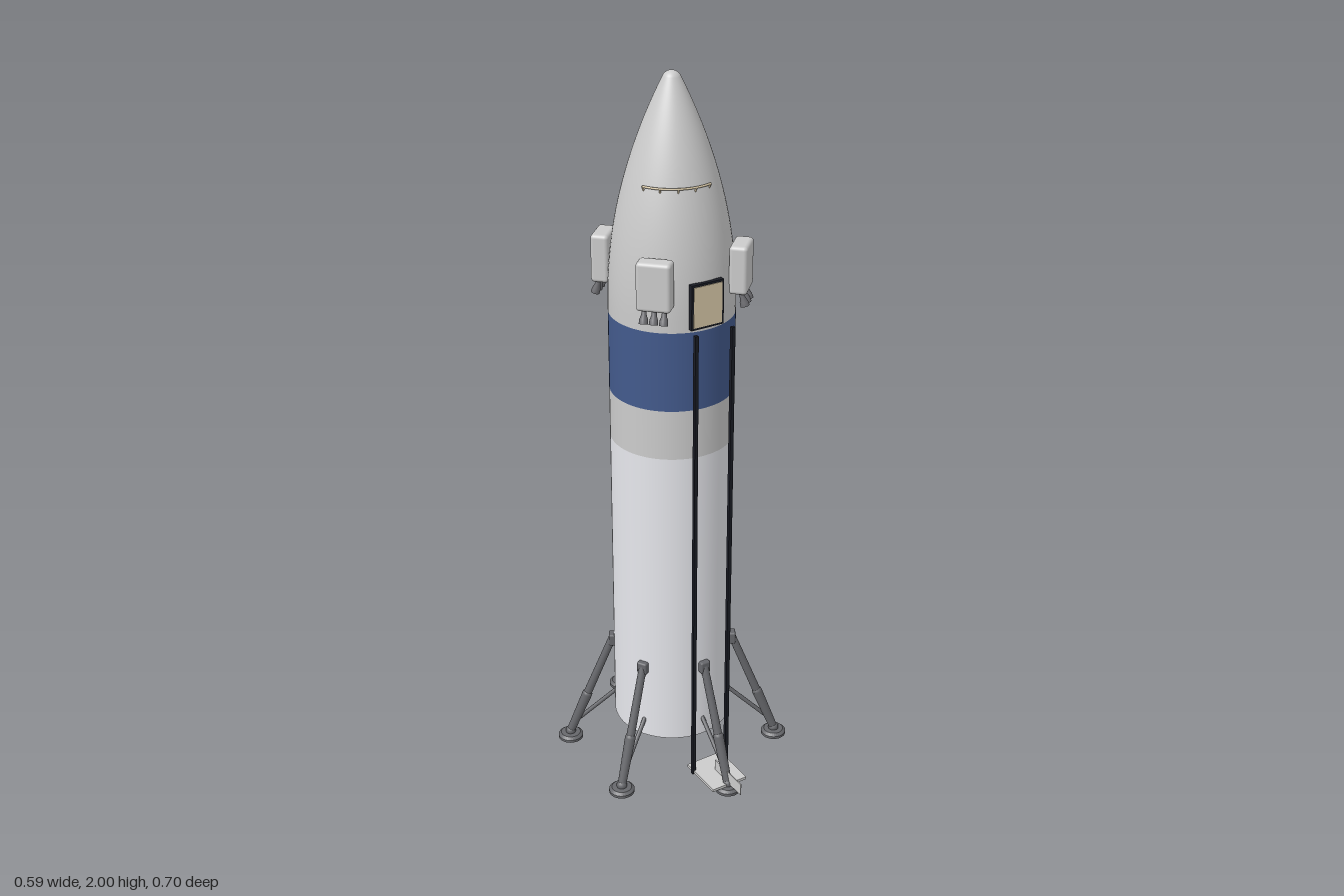
import * as THREE from 'three';
import { RoundedBoxGeometry } from 'three/addons/geometries/RoundedBoxGeometry.js';

const V = (x, y, z) => new THREE.Vector3(x, y, z);
const mat = (color, side = THREE.FrontSide) => new THREE.MeshStandardMaterial({ color, side });
const R = 0.167;

export function createModel() {
  const model = new THREE.Group();
  model.name = 'rocket';
  const rocket = new THREE.Group();
  rocket.name = 'vehicle';
  rocket.position.z = -0.015;
  model.add(rocket);

  const grey = mat(0xcccccc), white = mat(0xe6e7ec), blue = mat(0x435a8c);
  const dark = mat(0x66676b), black = mat(0x1a1c24), tan = mat(0xd9c9a8);
  const inside = mat(0x4a4a4d), bronze = mat(0x8a7d6c, THREE.DoubleSide);
  const steel = mat(0x6c6c70, THREE.DoubleSide);

  const add = (parent, name, geo, material, x = 0, y = 0, z = 0) => {
    const m = new THREE.Mesh(geo, material);
    m.name = name;
    m.position.set(x, y, z);
    parent.add(m);
    return m;
  };
  const lathe = (pts, seg = 64) =>
    new THREE.LatheGeometry(pts.map(([r, y]) => new THREE.Vector2(r, y)), seg);
  // Cylinder running between two points
  const rod = (parent, name, a, b, ra, rb, material, seg = 16) => {
    const d = b.clone().sub(a);
    const m = add(parent, name, new THREE.CylinderGeometry(rb, ra, d.length(), seg), material);
    m.position.copy(a).addScaledVector(d, 0.5);
    m.quaternion.setFromUnitVectors(V(0, 1, 0), d.normalize());
    return m;
  };

  // Hull sections
  const band = (name, y0, y1, material) => add(rocket, name, lathe([[R, y0], [R, y1]]), material);
  band('tankSection', 0.11, 1.01, white);
  band('upperRing', 1.01, 1.15, grey);
  band('blueBand', 1.15, 1.37, blue);

  // Nose: parabolic ogive blending into a spherical tip
  const nose = [[R, 1.37]];
  for (let i = 0; i <= 24; i++) {
    const y = 1.4 + 0.585 * i / 24, t = (y - 1.4) / 0.63;
    nose.push([R * (1 - t * t), y]);
  }
  const [tipR, tipY] = nose[nose.length - 1];
  const phi = Math.atan(0.493), capR = tipR / Math.cos(phi);
  for (let i = 1; i <= 8; i++) {
    const a = phi + (Math.PI / 2 - phi) * i / 8;
    nose.push([Math.max(0, capR * Math.cos(a)), tipY + capR * (Math.sin(a) - Math.sin(phi))]);
  }
  add(rocket, 'noseCone', lathe(nose), grey);

  // Hollow engine bay
  add(rocket, 'engineBayCeiling', new THREE.CircleGeometry(0.162, 48).rotateX(Math.PI / 2), inside, 0, 0.23, 0);
  add(rocket, 'engineBayWall', lathe([[0.161, 0.23], [0.161, 0.11]]), inside);
  add(rocket, 'skirtRim', lathe([[0.161, 0.11], [R, 0.11]]), inside);

  // Engine bells: three wide outer, three narrow inner
  const bell = (name, dist, angle, r, y, h, material) => add(rocket, name,
    lathe([[r, 0], [r * 0.9, h * 0.25], [r * 0.7, h * 0.55], [r * 0.35, h * 0.85], [r * 0.4, h], [r * 0.4, 0.23 - y]], 24),
    material, dist * Math.sin(angle), y, dist * Math.cos(angle));
  for (let i = 0; i < 3; i++) {
    const a = i * Math.PI * 2 / 3;
    bell('outerEngine', 0.098, a + Math.PI / 3, 0.042, 0.115, 0.09, steel);
    bell('innerEngine', 0.042, a, 0.026, 0.12, 0.07, bronze);
  }

  // Six landing legs, each built facing +z
  for (let i = 0; i < 6; i++) {
    const leg = new THREE.Group();
    leg.name = 'landingLeg';
    leg.rotation.y = i * Math.PI / 3;
    rocket.add(leg);
    const top = V(0, 0.345, 0.172), foot = V(0, 0.02, 0.3);
    const mid = top.clone().lerp(foot, 0.6);
    add(leg, 'legBracket', new RoundedBoxGeometry(0.03, 0.036, 0.022, 2, 0.005), dark, 0, 0.343, 0.171);
    rod(leg, 'upperStrut', mid, top, 0.012, 0.011, dark);
    rod(leg, 'lowerStrut', foot, mid, 0.012, 0.015, dark);
    add(leg, 'strutCollar', new THREE.SphereGeometry(0.015, 16, 10), dark, mid.x, mid.y, mid.z);
    add(leg, 'ankle', new THREE.SphereGeometry(0.015, 16, 10), dark, 0, 0.02, 0.3);
    rod(leg, 'braceStrut', V(0, 0.165, 0.163), V(0, 0.055, 0.284), 0.006, 0.006, dark, 10);
    add(leg, 'footPad', lathe([[0, 0], [0.036, 0], [0.036, 0.008], [0.028, 0.015], [0, 0.017]], 32)
      .toNonIndexed(), dark, 0, 0, 0.3).geometry.computeVertexNormals();
  }

  // Four thruster pods on the diagonals
  for (let i = 0; i < 4; i++) {
    const pod = new THREE.Group();
    pod.name = 'thrusterPod';
    pod.rotation.y = Math.PI / 4 + i * Math.PI / 2;
    rocket.add(pod);
    add(pod, 'podHousing', new RoundedBoxGeometry(0.09, 0.13, 0.048, 3, 0.01), grey, 0, 1.505, 0.182);
    for (const x of [-0.026, 0, 0.026]) {
      const n = add(pod, 'podNozzle', lathe([[0.012, 0], [0.011, 0.012], [0.007, 0.024], [0.006, 0.04]], 16),
        steel, x, 1.406, 0.199);
      n.rotation.x = -0.3;
    }
  }

  // Hatch with its dark frame
  add(model, 'hatchFrame', new THREE.BoxGeometry(0.096, 0.122, 0.014), black, 0, 1.44, 0.151);
  add(model, 'hatchDoor', new THREE.BoxGeometry(0.084, 0.11, 0.006), tan, 0, 1.44, 0.157);

  // Curved handrail on the nose with standoffs
  const at = (a, r, y) => V(r * Math.sin(a), y, r * Math.cos(a));
  const a0 = -1.16, a1 = 0.32, arc = [];
  for (let i = 0; i <= 12; i++) arc.push(at(a0 + (a1 - a0) * i / 12, 0.126, 1.737));
  add(rocket, 'handrail', new THREE.TubeGeometry(new THREE.CatmullRomCurve3(arc), 40, 0.003, 8), tan);
  for (let i = 0; i < 5; i++) {
    const a = a0 + (a1 - a0) * i / 4;
    rod(rocket, 'handrailStandoff', at(a, 0.126, 1.737), at(a, 0.119, 1.722), 0.0025, 0.0025, tan, 8);
  }

  // Lift: two rails, a platform and a thin upright panel
  for (const s of [-1, 1])
    add(model, 'liftRail', new THREE.BoxGeometry(0.01, 1.365, 0.01), black, s * 0.055, 0.6975, 0.19);
  add(model, 'liftCrossbar', new THREE.BoxGeometry(0.12, 0.008, 0.01), black, 0, 0.018, 0.19);
  add(model, 'liftPlatform', new THREE.BoxGeometry(0.112, 0.008, 0.135), grey, 0, 0.021, 0.2275);
  add(model, 'liftPanel', new THREE.BoxGeometry(0.003, 0.037, 0.13), grey, 0, 0.0405, 0.286);

  return model;
}
